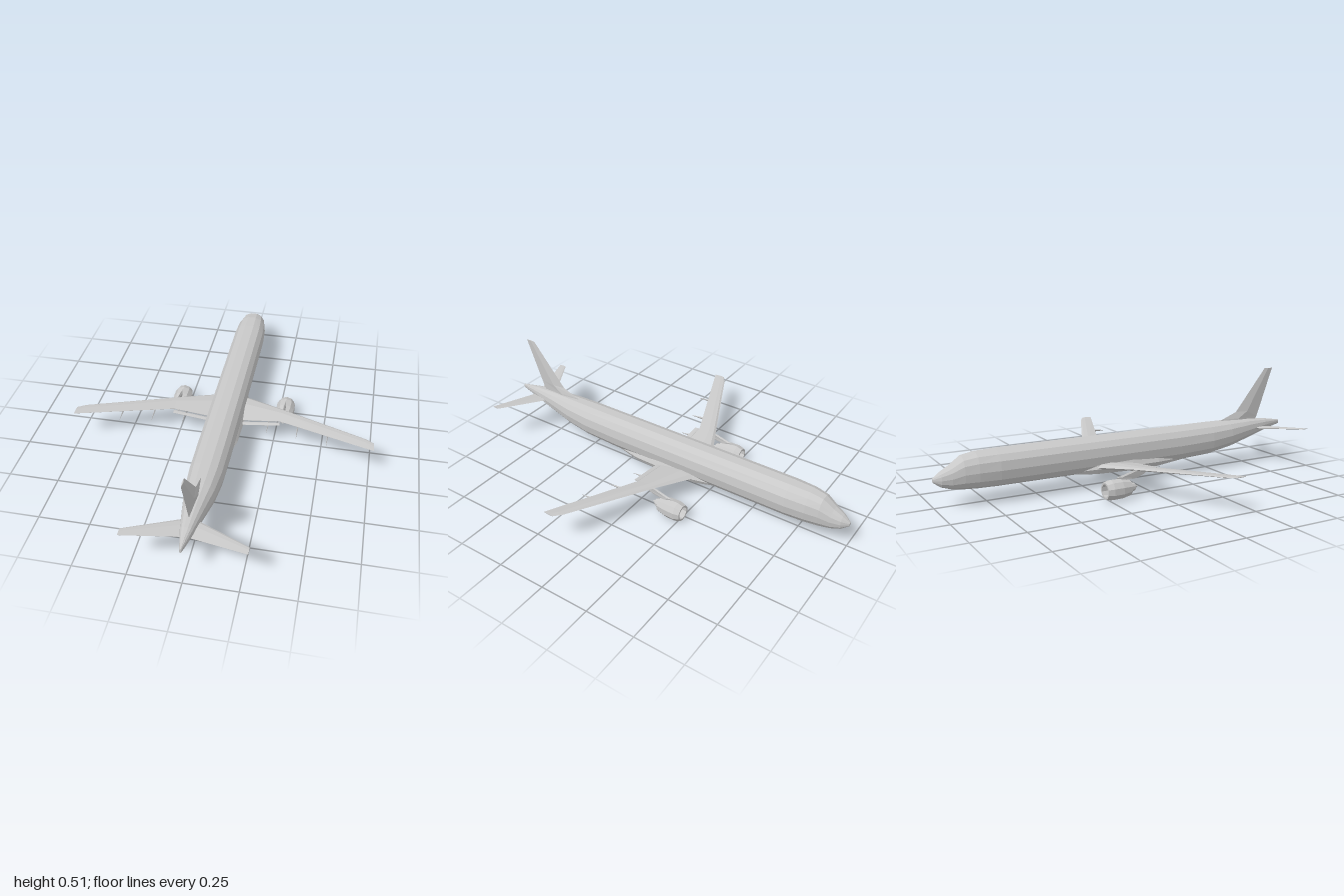
import * as THREE from 'three';

const paint = new THREE.MeshStandardMaterial({ color: 0xc8c8c8, flatShading: true, side: THREE.DoubleSide });
paint.name = 'light grey paint';

// Skin a series of equal-length rings, cap both ends, and face everything outward.
function loft(rings) {
  const tris = [];
  const n = rings[0].length;
  for (let i = 0; i < rings.length - 1; i++) {
    const a = rings[i], b = rings[i + 1];
    for (let j = 0; j < n; j++) {
      const k = (j + 1) % n;
      tris.push([a[j], b[j], b[k]], [a[j], b[k], a[k]]);
    }
  }
  const first = rings[0], last = rings[rings.length - 1];
  for (let j = 1; j < n - 1; j++) {
    tris.push([first[0], first[j], first[j + 1]], [last[0], last[j + 1], last[j]]);
  }
  let volume = 0;
  for (const [a, b, c] of tris) {
    volume += new THREE.Vector3(...a).dot(new THREE.Vector3(...b).cross(new THREE.Vector3(...c)));
  }
  if (volume < 0) tris.forEach((t) => t.reverse());
  const geometry = new THREE.BufferGeometry();
  geometry.setAttribute('position', new THREE.Float32BufferAttribute(tris.flat(2), 3));
  geometry.computeVertexNormals();
  return geometry;
}

// Rounded body section at z, from bottom to top, with a given half width.
function bodyRing([z, bottom, top, half], sides = 14, power = 0.85) {
  const soft = (v) => Math.sign(v) * Math.abs(v) ** power;
  return Array.from({ length: sides }, (_, i) => {
    const a = ((i + 0.5) / sides) * Math.PI * 2;
    return [half * soft(Math.sin(a)), (top + bottom) / 2 + ((top - bottom) / 2) * soft(Math.cos(a)), z];
  });
}

// Aerofoil section at x: leading edge z, trailing edge z, height and thickness.
function wingRing([x, lead, trail, y, thick], side) {
  const c = trail - lead;
  return [[0, 0], [0.12, 0.4], [0.4, 0.5], [1, 0.04], [1, -0.04], [0.4, -0.5], [0.12, -0.4]]
    .map(([u, v]) => [x * side, y + v * thick, lead + u * c]);
}

function add(parent, name, geometry) {
  const mesh = new THREE.Mesh(geometry, paint);
  mesh.name = name;
  parent.add(mesh);
  return mesh;
}

function lathe(points, sides) {
  return new THREE.LatheGeometry(points.map(([r, z]) => new THREE.Vector2(r, z)), sides).rotateX(Math.PI / 2);
}

function makeEngine(side) {
  const engine = new THREE.Group();
  engine.name = 'engine';
  // Hollow fan cowl, open at both ends
  const cowl = add(engine, 'fanCowl', lathe([
    [0.032, -0.08], [0.038, -0.262 + 0.19], [0.041, -0.08], [0.05, -0.05], [0.049, 0], [0.038, 0.05], [0.034, 0.05], [0.035, -0.04], [0.032, -0.08],
  ].filter((_, i) => i !== 1), 10));
  cowl.position.z = -0.19;
  // Core with spinner and exhaust cone
  const core = add(engine, 'engineCore', lathe([
    [0, -0.065], [0.012, -0.045], [0.034, -0.035], [0.03, 0.03], [0.02, 0.075], [0.012, 0.075], [0, 0.1],
  ], 10));
  core.position.z = -0.19;
  // Pylon joining the cowl to the wing
  add(engine, 'pylon', loft([
    [0.04, -0.2, -0.1, 0.006], [0.055, -0.21, -0.06, 0.006], [0.078, -0.12, -0.02, 0.004],
  ].map(([y, front, back, w]) => [[0, y, front], [w, y, front + 0.03], [0, y, back], [-w, y, front + 0.03]])));
  engine.position.set(0.284 * side, 0.05, 0);
  return engine;
}

function makeSide(side) {
  const group = new THREE.Group();
  group.name = side > 0 ? 'portAssemblyX' : 'starboardAssemblyX';
  add(group, 'wing', loft([
    [0.04, -0.225, 0.0, 0.1, 0.036], [0.09, -0.2, -0.008, 0.107, 0.034],
    [0.28, -0.107, -0.006, 0.13, 0.018], [0.72, 0.1, 0.17, 0.171, 0.007],
    [0.76, 0.13, 0.185, 0.175, 0.004],
  ].map((s) => wingRing(s, side))));
  // Inboard flap along the straight part of the trailing edge
  add(group, 'inboardFlap', loft([
    [0.085, -0.004, 0.022, 0.101, 0.006], [0.28, -0.004, 0.022, 0.125, 0.006],
  ].map((s) => wingRing(s, side))));
  // Slim flap track fairings below the wing
  for (const [x, z, y] of [[0.22, 0.02, 0.113], [0.375, 0.055, 0.129], [0.53, 0.1, 0.146]]) {
    add(group, 'flapTrackFairing', loft([
      [-0.055, 0.001], [-0.02, 0.006], [0.05, 0.001],
    ].map(([dz, r]) => [[r, 0], [0, r], [-r, 0], [0, -1.6 * r]]
      .map(([dx, dy]) => [x * side + dx * 0.6, y + dy - dz * 0.1, z + dz]))));
  }
  add(group, 'tailplane', loft([
    [0.0, 0.785, 0.905, 0.186, 0.014], [0.045, 0.812, 0.915, 0.19, 0.012], [0.28, 0.935, 0.975, 0.215, 0.004],
  ].map((s) => wingRing(s, side))));
  group.add(makeEngine(side));
  return group;
}

export function createModel() {
  const model = new THREE.Group();
  model.name = 'airliner';

  // Fuselage: z, bottom, top, half width
  add(model, 'fuselage', loft([
    [-1, 0.122, 0.142, 0.008], [-0.965, 0.097, 0.168, 0.033], [-0.92, 0.083, 0.193, 0.05],
    [-0.865, 0.075, 0.232, 0.066], [-0.8, 0.071, 0.244, 0.078], [-0.7, 0.069, 0.247, 0.086],
    [0.3, 0.068, 0.247, 0.086], [0.5, 0.078, 0.247, 0.084], [0.63, 0.1, 0.246, 0.074],
    [0.77, 0.135, 0.242, 0.051], [0.89, 0.168, 0.232, 0.03], [1, 0.192, 0.214, 0.005],
  ].map((s) => bodyRing(s))));

  // Belly fairing around the wing roots
  add(model, 'bellyFairing', loft([
    [-0.33, 0.072, 0.1, 0.04], [-0.2, 0.061, 0.135, 0.088], [0, 0.054, 0.135, 0.092],
    [0.15, 0.058, 0.125, 0.086], [0.32, 0.07, 0.1, 0.045],
  ].map((s) => bodyRing(s, 10, 0.7))));

  // Fin with a dorsal fillet: y, front z, back z, half thickness
  add(model, 'fin', loft([
    [0.225, 0.58, 0.83, 0.012], [0.25, 0.605, 0.845, 0.011],
    [0.285, 0.7, 0.858, 0.009], [0.515, 0.89, 0.943, 0.003],
  ].map(([y, front, back, w]) => {
    const mid = front + (back - front) * 0.45;
    return [[0, y, front], [w, y, mid], [0, y, back], [-w, y, mid]];
  })));

  for (const side of [-1, 1]) model.add(makeSide(side));
  model.children.slice(-2).forEach((g, i) => { g.name = i ? 'positiveXWingGroup' : 'negativeXWingGroup'; });
  return model;
}
